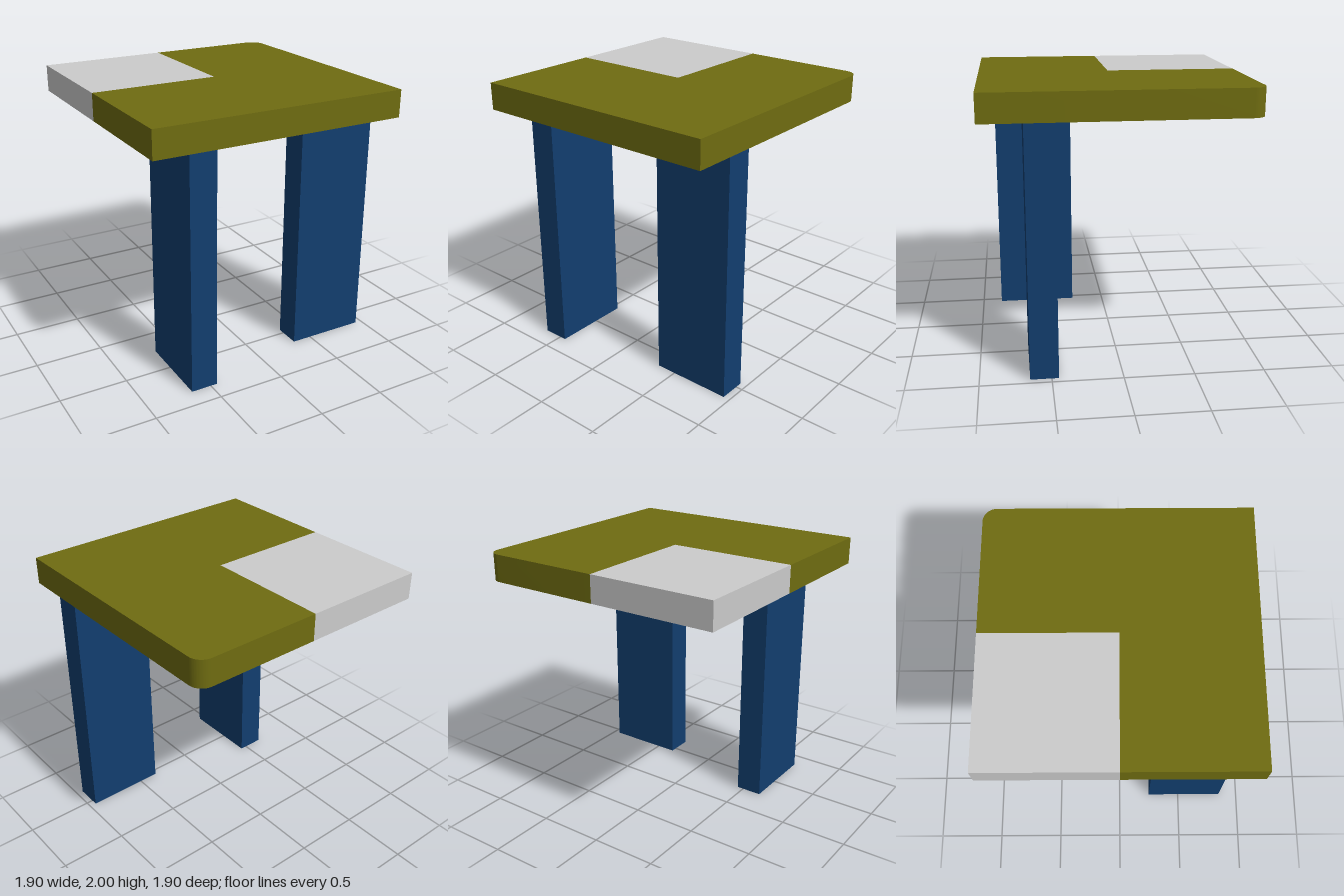
import * as THREE from 'three';
import { toCreasedNormals } from 'three/addons/utils/BufferGeometryUtils.js';

export function createModel() {
  const model = new THREE.Group();
  const grey = new THREE.MeshStandardMaterial({ color: 0xcccccc });
  const olive = new THREE.MeshStandardMaterial({ color: 0x6f6c11 });
  const blue = new THREE.MeshStandardMaterial({ color: 0x123e6f });

  const H = 0.95, R = 0.1, LEG = 1.8, THICK = 0.2;

  const add = (name, geometry, material, x = 0, y = 0, z = 0) => {
    const mesh = new THREE.Mesh(geometry, material);
    mesh.name = name;
    mesh.position.set(x, y, z);
    model.add(mesh);
  };

  // L-shaped seat slab, with its back left corner rounded (shape y is -z)
  const slab = new THREE.Shape();
  slab.moveTo(-H, -H);
  slab.lineTo(H, -H);
  slab.lineTo(H, H - R);
  slab.absarc(H - R, H - R, R, 0, Math.PI / 2, false);
  slab.lineTo(0, H);
  slab.lineTo(0, 0);
  slab.lineTo(-H, 0);
  slab.closePath();
  const slabGeometry = new THREE.ExtrudeGeometry(slab, { depth: THICK, bevelEnabled: false, curveSegments: 12 });
  slabGeometry.rotateX(-Math.PI / 2);
  add('seatSlab', toCreasedNormals(slabGeometry, 0.5), olive, 0, LEG, 0);

  // Square-cornered grey quarter that completes the seat
  add('seatQuarter', new THREE.BoxGeometry(H, THICK, H), grey, -H / 2, LEG + THICK / 2, -H / 2);

  // Plank legs, blue with grey undersides
  const legMaterials = [blue, blue, blue, grey, blue, blue];
  add('rightLeg', new THREE.BoxGeometry(0.2, LEG, 0.6), legMaterials, -0.55, LEG / 2, 0.55);
  add('leftLeg', new THREE.BoxGeometry(0.6, LEG, 0.2), legMaterials, 0.65, LEG / 2, 0.55);

  return model;
}
